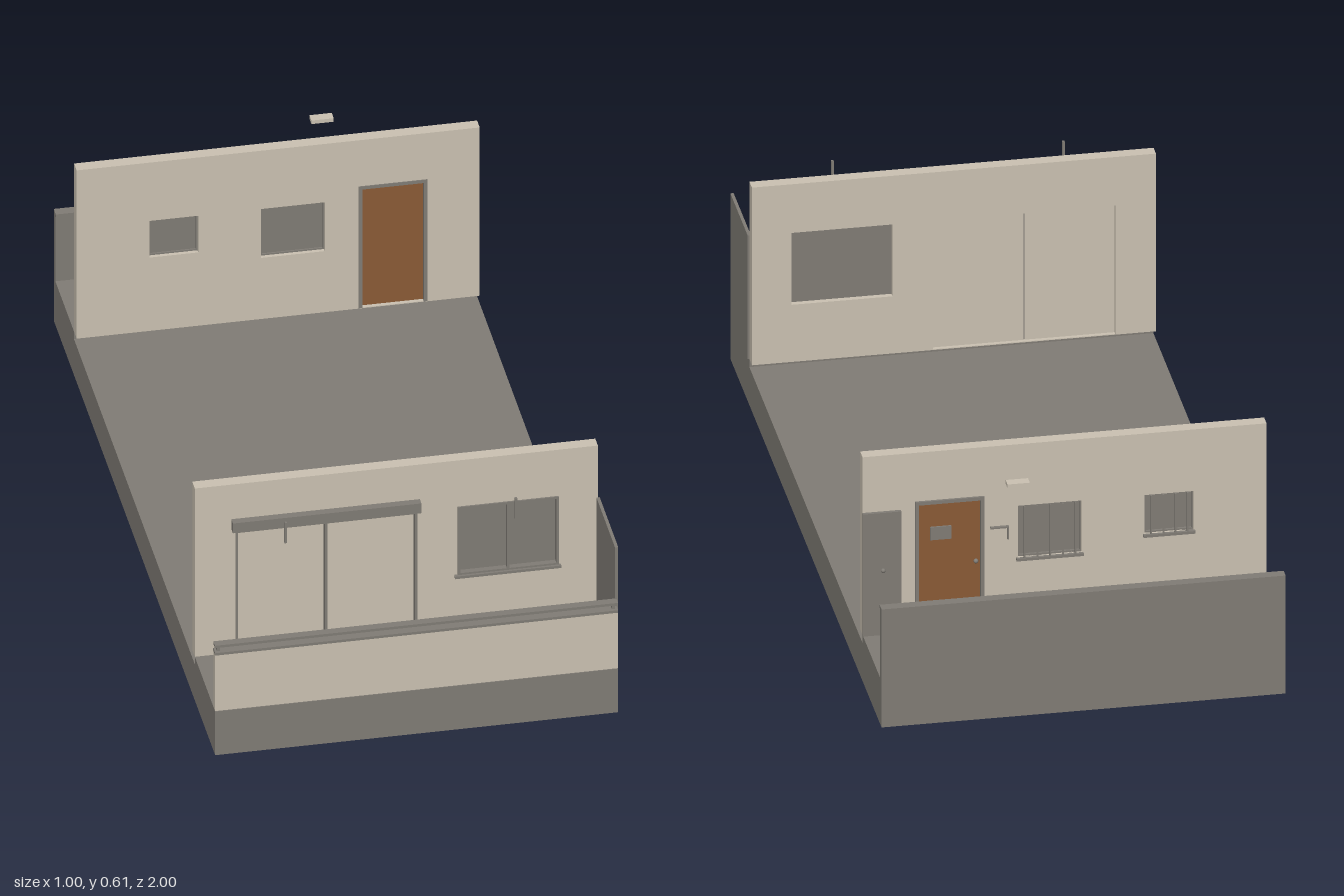
import * as THREE from 'three';

export function createModel() {
  const model = new THREE.Group();
  const material = (name, color) => {
    const m = new THREE.MeshStandardMaterial({ color });
    m.name = name;
    return m;
  };
  const cream = material('cream plaster', 0xcac1b1);
  const grey = material('warm grey', 0x807c75);
  const wood = material('brown wood', 0x8a5a36);

  const add = (name, geometry, mat, parent = model) => {
    const mesh = new THREE.Mesh(geometry, mat);
    mesh.name = name;
    parent.add(mesh);
    return mesh;
  };
  // Box given by its extents on each axis
  const box = (name, mat, x0, x1, y0, y1, z0, z1, parent) => {
    const g = new THREE.BoxGeometry(x1 - x0, y1 - y0, z1 - z0);
    g.translate((x0 + x1) / 2, (y0 + y1) / 2, (z0 + z1) / 2);
    return add(name, g, mat, parent);
  };

  const L = -0.5, R = 0.494, FLOOR = 0.125;

  // Slab with a raised balcony floor at each end
  box('floorSlab', grey, L, R, 0, 0.103, -0.75, 0.75);
  box('frontBalconyFloor', grey, L, R, 0, FLOOR, 0.75, 1);
  box('backBalconyFloor', grey, L, R, 0, FLOOR, -1, -0.75);

  // House walls with rectangular openings [x0, x1, y0, y1]
  const wall = (name, z0, openings) => {
    const rect = (path, x0, x1, y0, y1) => {
      path.moveTo(x0, y0);
      path.lineTo(x1, y0);
      path.lineTo(x1, y1);
      path.lineTo(x0, y1);
      path.closePath();
      return path;
    };
    const shape = rect(new THREE.Shape(), L, R, FLOOR, 0.607);
    openings.forEach(o => shape.holes.push(rect(new THREE.Path(), ...o)));
    const g = new THREE.ExtrudeGeometry(shape, { depth: 0.032, bevelEnabled: false });
    g.translate(0, 0, z0);
    add(name, g, cream);
  };
  const slidingDoor = [-0.4, 0.048, 0.127, 0.475];
  const frontWindow = [0.148, 0.397, 0.28, 0.475];
  const smallWindow = [-0.32, -0.2, 0.335, 0.44];
  const largeWindow = [-0.045, 0.112, 0.3, 0.44];
  const backDoor = [0.195, 0.365, 0.127, 0.475];
  wall('frontWall', 0.716, [slidingDoor, frontWindow]);
  wall('backWall', -0.748, [smallWindow, largeWindow, backDoor]);

  // Frame of two jambs, a head, an optional bottom rail and mullions
  const frame = (name, [x0, x1, y0, y1], z0, z1, t, bottom, mullions = []) => {
    const group = new THREE.Group();
    group.name = name;
    model.add(group);
    box('leftJamb', grey, x1 - t, x1, y0, y1, z0, z1, group);
    box('rightJamb', grey, x0, x0 + t, y0, y1, z0, z1, group);
    box('head', grey, x0 + t, x1 - t, y1 - t, y1, z0, z1, group);
    if (bottom) box('bottomRail', grey, x0 + t, x1 - t, y0, y0 + t, z0, z1, group);
    mullions.forEach(x => box('mullion', grey, x - t / 2, x + t / 2, y0 + t, y1 - t, z0, z1, group));
  };
  const pane = (name, mat, [x0, x1, y0, y1], z0, z1) => box(name, mat, x0, x1, y0, y1, z0, z1);

  // Front sliding door and window
  pane('slidingDoorPanels', cream, slidingDoor, 0.726, 0.735);
  frame('slidingDoorFrame', slidingDoor, 0.728, 0.752, 0.006, false, [-0.177]);
  box('doorMeetingStrip', grey, -0.178, -0.176, 0.13, 0.47, 0.725, 0.727);
  pane('frontWindowGlass', grey, frontWindow, 0.73, 0.737);
  frame('frontWindowFrame', frontWindow, 0.73, 0.752, 0.006, true, [0.272]);
  box('frontWindowSill', grey, 0.14, 0.402, 0.274, 0.281, 0.745, 0.758);

  // Shutter box above the sliding door
  box('shutterBox', grey, -0.41, 0.055, 0.48, 0.508, 0.748, 0.768);

  // Back windows with sills and outside bars
  [['smallWindow', smallWindow, 4], ['largeWindow', largeWindow, 5]].forEach(([name, o, bars]) => {
    pane(name + 'Glass', grey, o, -0.736, -0.73);
    frame(name + 'Frame', o, -0.742, -0.726, 0.004, true);
    box(name + 'Sill', grey, o[0] - 0.004, o[1] + 0.004, o[2] - 0.007, o[2], -0.756, -0.742);
    for (let i = 0; i < bars; i++) {
      const x = o[0] + ((o[1] - o[0]) * (i + 0.5)) / bars;
      box(name + 'Bar', grey, x - 0.002, x + 0.002, o[2], o[3], -0.755, -0.751);
    }
  });

  // Back door with peep window and handle
  pane('backDoorLeaf', wood, backDoor, -0.742, -0.726);
  frame('backDoorFrame', backDoor, -0.754, -0.714, 0.009, false);
  box('backDoorGlass', grey, 0.275, 0.327, 0.365, 0.4, -0.746, -0.741);
  const knob = (name, x, y, z) =>
    add(name, new THREE.SphereGeometry(0.006, 10, 8), grey).position.set(x, y, z);
  knob('backDoorKnob', 0.215, 0.3, -0.748);

  // Meter cupboard beside the back door
  box('meterCupboard', grey, 0.4, R, FLOOR, 0.456, -0.757, -0.748);
  knob('cupboardKnob', 0.445, 0.3, -0.758);

  // Bent pipe on the back wall
  box('pipeArm', grey, 0.135, 0.18, 0.386, 0.39, -0.756, -0.748);
  box('pipeDrop', grey, 0.135, 0.139, 0.355, 0.387, -0.756, -0.748);

  // Front parapet with coping and raised rail
  box('frontParapet', cream, L, R, FLOOR, 0.285, 0.978, 0.998);
  box('frontCoping', grey, L, R, 0.285, 0.292, 0.975, 1);
  box('frontRail', grey, L, R, 0.305, 0.312, 0.977, 0.998);
  [-0.49, 0.484].forEach(x => box('railPost', grey, x - 0.004, x + 0.004, 0.292, 0.305, 0.983, 0.992));

  // Side screen on the front balcony
  box('sideScreen', grey, 0.49, 0.498, FLOOR, 0.46, 0.75, 0.98);

  // Back parapet with coping
  box('backParapet', grey, L, R, FLOOR, 0.312, -1, -0.98);
  box('backCoping', grey, L, R, 0.312, 0.32, -1, -0.974);

  // Hanging rods and ceiling lamp
  [-0.304, 0.264].forEach(x => box('hangingRod', grey, x - 0.003, x + 0.003, 0.515, 0.573, 0.885, 0.891));
  box('ceilingLamp', cream, 0.11, 0.165, 0.567, 0.577, -0.897, -0.872);

  // Cooling unit and small floor pot on the front balcony
  box('coolingUnit', cream, 0.31, 0.435, 0.13, 0.215, 0.89, 0.935);
  const pot = add('floorPot', new THREE.CylinderGeometry(0.03, 0.024, 0.05, 5), grey);
  pot.position.set(-0.3, FLOOR + 0.025, 0.92);
  pot.rotation.y = 0.3;

  return model;
}
